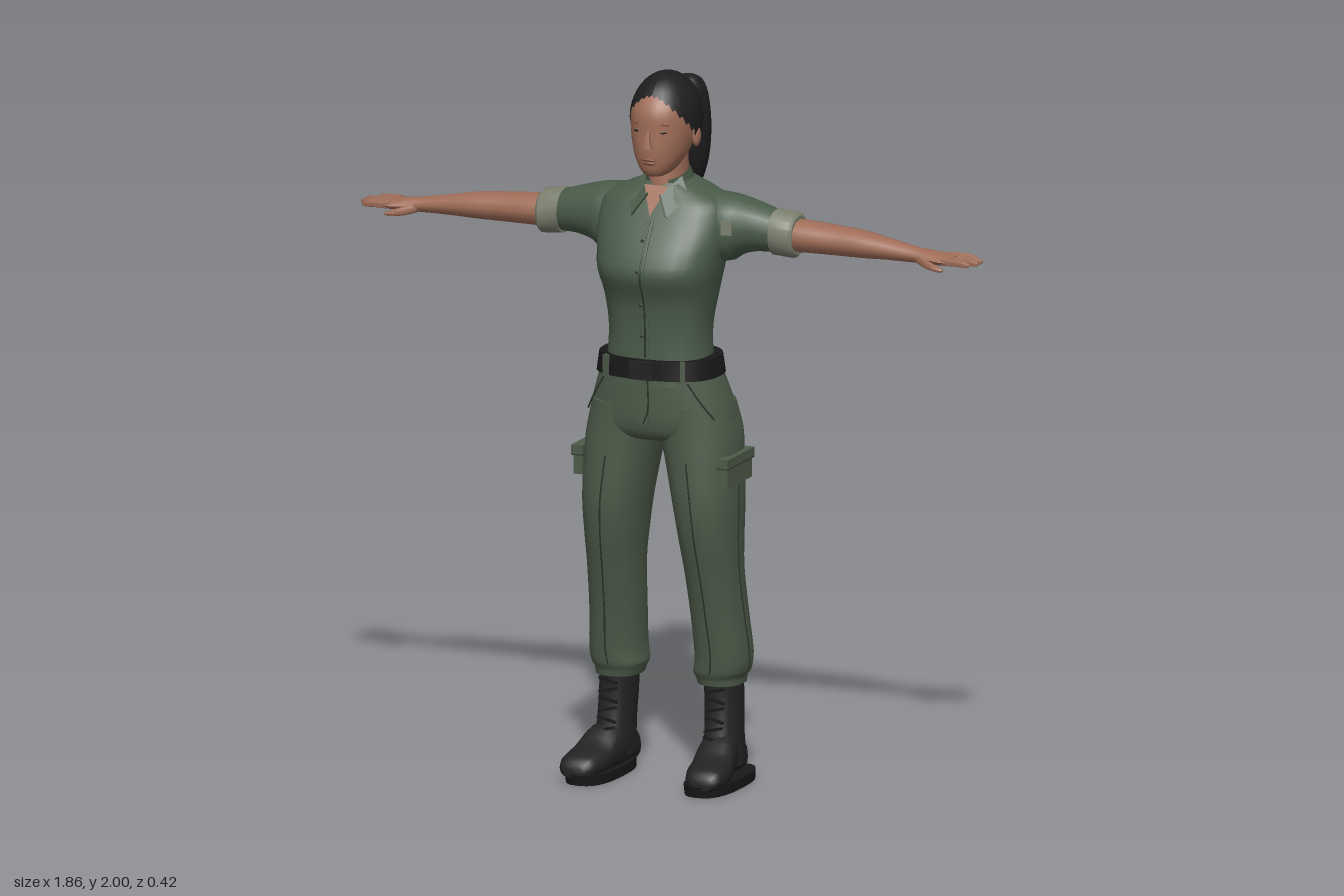
import * as THREE from 'three';
import { toCreasedNormals } from 'three/addons/utils/BufferGeometryUtils.js';

const mat = (name, color, side = THREE.FrontSide) => {
  const m = new THREE.MeshStandardMaterial({ color, side });
  m.name = name;
  return m;
};

// Closed skin through rows [t, a0, a1, b0, b1]; cross axes: y -> x,z  x -> z,y  z -> y,x
function loft(axis, rows, { n = 20, e = 0.9, sub = 3 } = {}) {
  if (rows[0][0] > rows[rows.length - 1][0]) rows = rows.slice().reverse();
  const at = (i) => rows[Math.min(rows.length - 1, Math.max(0, i))];
  const fine = [];
  for (let i = 0; i < rows.length - 1; i++) for (let k = 0; k < sub; k++) {
    const u = k / sub;
    fine.push(rows[i].map((p1, c) => {
      const p0 = at(i - 1)[c], p2 = at(i + 1)[c], p3 = at(i + 2)[c];
      return p1 + 0.5 * u * (p2 - p0 + u * (2 * p0 - 5 * p1 + 4 * p2 - p3 + u * (3 * (p1 - p2) + p3 - p0)));
    }));
  }
  fine.push(rows[rows.length - 1]);
  const place = (t, a, b) => (axis === 'y' ? [a, t, b] : axis === 'x' ? [t, b, a] : [b, a, t]);
  const pw = (v) => Math.sign(v) * Math.abs(v) ** e;
  const pos = [], idx = [];
  for (const [t, a0, a1, b0, b1] of fine) for (let j = 0; j < n; j++) {
    const q = (j / n) * Math.PI * 2;
    pos.push(...place(t, (a0 + a1) / 2 + (a1 - a0) / 2 * pw(Math.cos(q)), (b0 + b1) / 2 + (b1 - b0) / 2 * pw(Math.sin(q))));
  }
  const last = fine.length - 1, c0 = fine.length * n;
  for (const r of [fine[0], fine[last]]) pos.push(...place(r[0], (r[1] + r[2]) / 2, (r[3] + r[4]) / 2));
  for (let j = 0; j < n; j++) {
    const k = (j + 1) % n;
    for (let i = 0; i < last; i++) {
      const a = i * n + j, b = i * n + k;
      idx.push(a, a + n, b, b, a + n, b + n);
    }
    idx.push(c0, j, k, c0 + 1, last * n + k, last * n + j);
  }
  const g = new THREE.BufferGeometry();
  g.setAttribute('position', new THREE.Float32BufferAttribute(pos, 3));
  g.setIndex(idx);
  return toCreasedNormals(g, 0.75);
}

// Symmetric row about x = 0
const sym = (rows) => rows.map(([y, r, z0, z1]) => [y, -r, r, z0, z1]);

function add(parent, name, geo, material, p = [0, 0, 0], r = [0, 0, 0], s = [1, 1, 1]) {
  const m = new THREE.Mesh(geo, material);
  m.name = name;
  m.position.set(...p); m.rotation.set(...r); m.scale.set(...s);
  parent.add(m);
  return m;
}
const box = (w, h, d) => new THREE.BoxGeometry(w, h, d);
const ball = () => new THREE.SphereGeometry(1, 16, 12);
const seam = (pts, r = 0.0025) => new THREE.TubeGeometry(
  new THREE.CatmullRomCurve3(pts.map((p) => new THREE.Vector3(...p))), 24, r, 5);
function plate(points) { // flat fan of corners
  const g = new THREE.BufferGeometry(), idx = [];
  g.setAttribute('position', new THREE.Float32BufferAttribute(points.flat(), 3));
  for (let i = 1; i < points.length - 1; i++) idx.push(0, i, i + 1);
  g.setIndex(idx);
  g.computeVertexNormals();
  return g;
}

export function createModel() {
  const skin = mat('skin', 0xa06d58, THREE.DoubleSide), shirt = mat('shirt green', 0x4a5b49, THREE.DoubleSide);
  const trousers = mat('trouser green', 0x4e5b49), cuff = mat('cuff grey green', 0x7b806f);
  const seamMat = mat('seam dark green', 0x2c382c), hair = mat('hair black', 0x1e1e1f, THREE.DoubleSide);
  const boot = mat('boot black', 0x232323), black = mat('belt black', 0x191919), lip = mat('lip brown', 0x84503f);
  const root = new THREE.Group();
  root.name = 'uniformedWoman';

  // Shirt body, placket and buttons
  const torso = [[1.14, .16, -.075, .165], [1.22, .145, -.062, .16], [1.3, .143, -.07, .16], [1.38, .155, -.09, .17],
    [1.45, .17, -.106, .198], [1.5, .178, -.115, .185], [1.55, .187, -.118, .157], [1.6, .19, -.116, .125],
    [1.64, .182, -.11, .1], [1.667, .14, -.1, .08], [1.695, .07, -.088, .062]];
  add(root, 'shirtBody', loft('y', sym(torso), { n: 28, e: .78 }), shirt);
  const front = torso.slice(1, 8);
  add(root, 'placket', loft('y', sym(front.map(([y, , , z]) => [y, .015, z - .012, z + .003])), { n: 8, e: .4 }), shirt);
  add(root, 'placketSeam', seam(front.map(([y, , , z]) => [.003, y, z + .003])), seamMat);
  for (const y of [1.28, 1.37, 1.47, 1.55]) {
    const z = y < 1.3 ? .164 : y < 1.4 ? .171 : y < 1.5 ? .2 : .161;
    add(root, 'button', ball(), seamMat, [-.006, y, z], [0, 0, 0], [.005, .005, .003]);
  }

  // Collar and open neck
  add(root, 'collarBand', new THREE.CylinderGeometry(.058, .07, .055, 20, 1, true, .5, Math.PI * 2 - 1), shirt,
    [0, 1.695, -.008], [.3, 0, 0], [1, 1, 1.22]);
  add(root, 'openNeck', plate([[-.036, 1.69, .078], [0, 1.612, .126], [.036, 1.69, .078]]), skin);
  add(root, 'neck', loft('y', sym([[1.62, .058, -.07, .07], [1.68, .052, -.075, .068], [1.73, .05, -.075, .062], [1.79, .05, -.07, .05]])), skin);

  // Head and face
  add(root, 'head', loft('y', sym([[1.722, .026, .035, .112], [1.735, .044, -.005, .126], [1.77, .066, -.045, .134],
    [1.81, .079, -.078, .136], [1.85, .086, -.092, .134], [1.9, .086, -.092, .131], [1.94, .072, -.08, .109],
    [1.97, .05, -.05, .075], [1.982, .025, -.025, .045]]), { n: 24 }), skin);
  add(root, 'nose', new THREE.ConeGeometry(.018, .058, 4).rotateY(Math.PI / 4), skin, [0, 1.835, .136], [-.16, 0, 0], [1, 1, 1.15]);
  add(root, 'upperLip', ball(), lip, [0, 1.774, .133], [0, 0, 0], [.024, .005, .008]);
  add(root, 'lowerLip', ball(), lip, [0, 1.764, .131], [0, 0, 0], [.02, .006, .008]);
  for (const s of [-1, 1]) {
    add(root, 'eye', ball(), black, [s * .036, 1.851, .122], [0, s * .3, 0], [.014, .004, .004]);
    add(root, 'eyebrow', box(.034, .005, .005), lip, [s * .038, 1.873, .122], [0, s * .32, s * -.08]);
    add(root, 'ear', ball(), skin, [s * .087, 1.822, .002], [0, 0, 0], [.011, .03, .019]);
  }

  // Hair cap: a dome whose rim follows the hairline
  const cap = new THREE.SphereGeometry(1, 32, 14), P = cap.attributes.position, uv = cap.attributes.uv;
  for (let i = 0; i < P.count; i++) {
    const q = uv.getX(i) * Math.PI * 2, d = Math.cos(q);
    const rim = d > 0 ? 1.82 + .125 * d ** 1.3 : 1.82 + .065 * d;
    const f = (1 - uv.getY(i)) * Math.acos((rim - 1.87) / .13);
    P.setXYZ(i, .097 * Math.sin(f) * Math.sin(q), 1.87 + .13 * Math.cos(f), .01 + .125 * Math.sin(f) * d);
  }
  // keep faces pointing outward after the remap
  const ix = cap.index.array;
  for (let i = 0; i < ix.length; i += 3) {
    const [a, b, c] = [0, 1, 2].map((k) => new THREE.Vector3().fromBufferAttribute(P, ix[i + k]));
    const nrm = b.clone().sub(a).cross(c.clone().sub(a));
    if (nrm.dot(a.add(b).add(c).divideScalar(3).sub(new THREE.Vector3(0, 1.87, .01))) < 0) [ix[i], ix[i + 1]] = [ix[i + 1], ix[i]];
  }
  cap.computeVertexNormals();
  add(root, 'hairCap', cap, hair);
  add(root, 'hairTie', new THREE.TorusGeometry(.024, .01, 8, 16), black, [0, 1.915, -.112], [.3, 0, 0]);
  add(root, 'ponytail', loft('y', sym([[1.957, .016, -.155, -.125], [1.94, .036, -.185, -.105], [1.9, .05, -.2, -.1],
    [1.82, .057, -.206, -.104], [1.74, .05, -.208, -.12], [1.68, .034, -.206, -.142], [1.62, .008, -.196, -.182]]), { n: 16 }), hair);

  // Hips, fly and belt
  add(root, 'hips', loft('y', sym([[1.185, .165, -.075, .163], [1.1, .193, -.1, .162], [1.04, .208, -.114, .16],
    [1, .207, -.112, .15], [.98, .18, -.1, .13]]), { n: 28, e: .82 }), trousers);
  add(root, 'fly', box(.026, .13, .012), trousers, [0, 1.1, .163]);
  add(root, 'flySeam', seam([[.014, 1.16, .17], [.014, 1.07, .17], [0, 1.035, .169]]), seamMat);
  add(root, 'belt', loft('y', sym([[1.16, .178, -.086, .176], [1.215, .17, -.082, .174]]), { n: 32, e: .78, sub: 1 }), black);
  add(root, 'buckle', box(.07, .052, .014), boot, [0, 1.187, .178]);
  for (const s of [-1, 1]) {
    add(root, 'beltLoop', box(.014, .062, .012), trousers, [s * .115, 1.187, .161], [0, s * .35, 0]);
    add(root, 'beltLoop', box(.014, .062, .012), trousers, [s * .08, 1.187, -.08], [0, s * -.2, 0]);
  }

  // Everything paired, built for the left and mirrored
  for (const s of [1, -1]) {
    const side = new THREE.Group();
    side.name = s > 0 ? 'leftSide' : 'rightSide';
    side.scale.x = s;
    root.add(side);

    // Collar flap
    add(side, 'collarFlap', plate([[.056, 1.712, .03], [.018, 1.668, .095], [.052, 1.612, .13], [.092, 1.664, .066]]), shirt);
    add(side, 'collarEdge', seam([[.018, 1.668, .096], [.035, 1.64, .115], [.052, 1.612, .131]], .002), seamMat);

    // Sleeve, rolled cuff and arm
    add(side, 'sleeve', loft('x', [[.08, -.1, .06, 1.5, 1.672], [.18, -.108, .07, 1.475, 1.664], [.22, -.103, .06, 1.495, 1.657],
      [.27, -.092, .05, 1.51, 1.644], [.34, -.082, .034, 1.512, 1.622]]), shirt);
    add(side, 'sleeveCuff', loft('x', [[.318, -.09, .042, 1.504, 1.632], [.378, -.088, .042, 1.5, 1.626], [.386, -.08, .034, 1.508, 1.618]],
      { n: 16, sub: 1 }), cuff);
    add(side, 'arm', loft('x', [[.36, -.078, .03, 1.518, 1.61], [.42, -.082, .03, 1.518, 1.606], [.5, -.08, .024, 1.518, 1.6],
      [.58, -.076, .024, 1.519, 1.593], [.66, -.06, .018, 1.522, 1.58], [.74, -.046, .014, 1.523, 1.566],
      [.79, -.06, .02, 1.523, 1.558], [.83, -.073, .026, 1.524, 1.553], [.855, -.07, .022, 1.528, 1.55]], { n: 12 }), skin);
    [[-.063, .905], [-.038, .93], [-.012, .93], [.012, .915]].forEach(([z, tip], i) => {
      const c = z * 1.12;
      add(side, 'finger' + (i + 1), loft('x', [[.83, z - .012, z + .012, 1.528, 1.552], [.88, c - .01, c + .01, 1.529, 1.549],
        [tip - .01, c - .008, c + .008, 1.528, 1.545], [tip, c - .003, c + .003, 1.533, 1.539]], { n: 8, sub: 2 }), skin);
    });
    add(side, 'thumb', loft('x', [[.75, -.02, .012, 1.525, 1.552], [.785, .003, .03, 1.516, 1.542],
      [.82, .018, .038, 1.512, 1.53], [.84, .024, .034, 1.514, 1.522]], { n: 8 }), skin);

    // Trouser leg, rows [y, inner x, outer x, back z, front z]
    const leg = [[1.08, .005, .196, -.1, .15], [1, .002, .216, -.112, .15], [.93, .02, .222, -.106, .152], [.8, .047, .225, -.1, .155],
      [.7, .062, .222, -.093, .141], [.6, .073, .221, -.087, .115], [.47, .08, .226, -.105, .086], [.36, .083, .234, -.118, .068],
      [.315, .077, .229, -.115, .062], [.3, .082, .22, -.105, .055], [.278, .09, .217, -.1, .05]];
    add(side, 'trouserLeg', loft('y', leg, { n: 20, e: .85 }), trousers);
    const mid = leg.slice(2, 9);
    add(side, 'frontCrease', seam(mid.map(([y, a, b, , z]) => [(a + b) / 2, y, z + .0005])), seamMat);
    add(side, 'sideSeam', seam(mid.map(([y, , b, z0, z1]) => [b + .0005, y, (z0 + z1) / 2])), seamMat);
    add(side, 'hipPocketSeam', seam([[.125, 1.155, .151], [.16, 1.1, .138], [.19, 1.05, .112]]), seamMat);

    // Cargo pocket
    add(side, 'cargoPocket', box(.028, .07, .17), trousers, [.218, .895, .035]);
    add(side, 'cargoFlap', box(.034, .026, .182), trousers, [.219, .93, .035]);
    add(side, 'cargoSeam', box(.035, .003, .183), seamMat, [.219, .916, .035]);

    // Boot: shaft, foot, sole, heel and laces
    add(side, 'bootShaft', loft('y', [[.31, .104, .208, -.095, .04], [.22, .108, .21, -.094, .042], [.14, .112, .212, -.092, .055],
      [.05, .113, .218, -.1, .08]], { n: 16 }), boot);
    add(side, 'bootFoot', loft('z', [[-.105, .02, .07, .13, .19], [-.08, .015, .11, .118, .205], [0, .015, .15, .113, .214],
      [.06, .015, .135, .115, .228], [.11, .015, .1, .12, .242], [.16, .015, .085, .127, .246], [.195, .016, .072, .14, .24],
      [.212, .022, .05, .162, .222]], { n: 16, e: .75 }), boot);
    add(side, 'bootSole', loft('y', [[0, .112, .246, -.11, .21], [.03, .11, .248, -.11, .216]], { n: 24, e: .75, sub: 1 }), black);
    for (let i = 0; i < 6; i++) {
      const y = .13 + i * .027, z = .062 - Math.min(i, 3) * .006;
      add(side, 'lace', box(.055, .007, .01), black, [.161, y, z], [0, 0, i % 2 ? .25 : -.25]);
    }
  }

  // Small cloth patch on the left sleeve
  add(root, 'sleevePatch', box(.03, .04, .006), cuff, [.205, 1.585, .066], [0, .2, 0]);
  return root;
}
